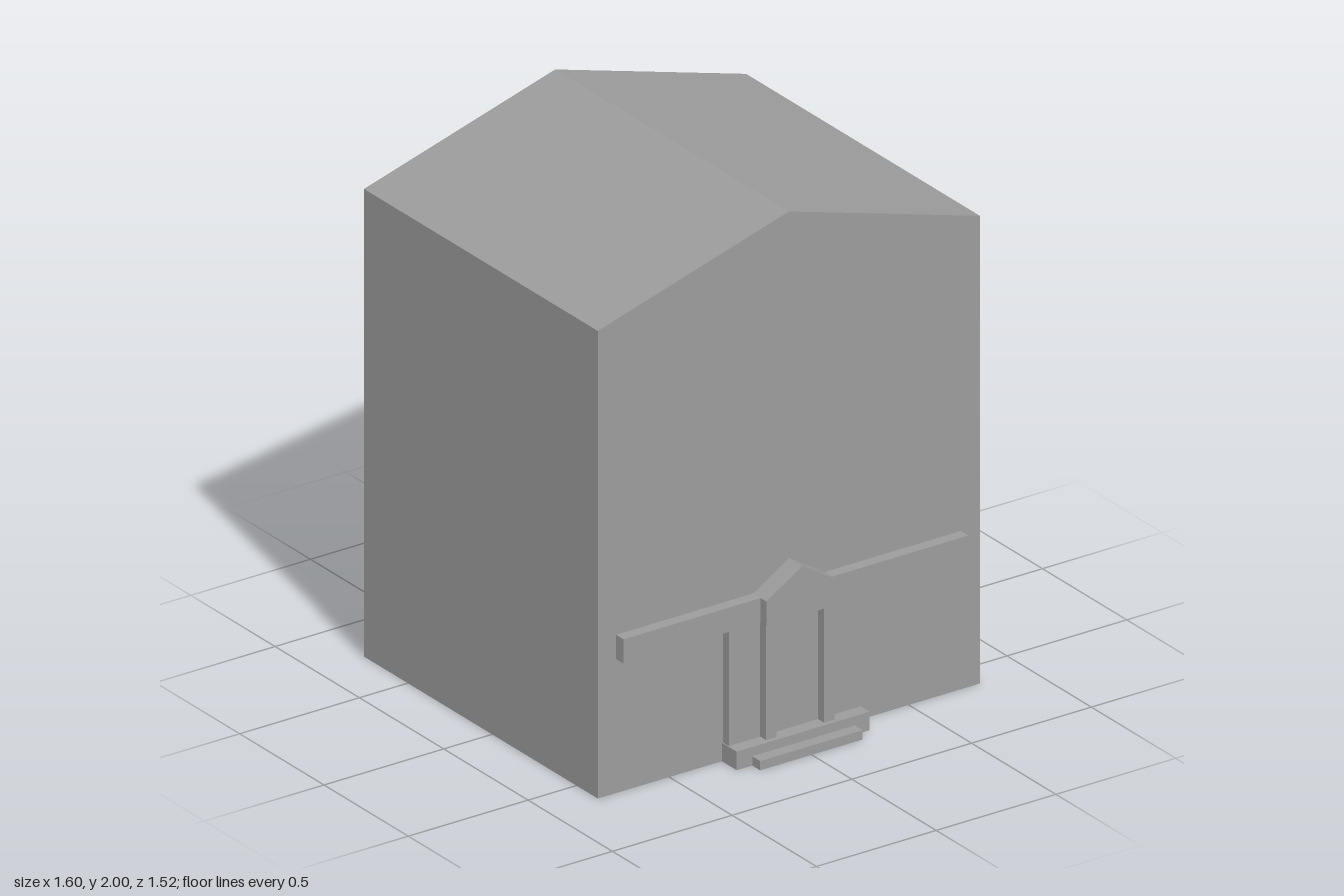
import * as THREE from 'three';

const material = new THREE.MeshStandardMaterial({ color: 0x9c9c9c, flatShading: true });
const WALL = 0.627; // front wall plane

export function createModel() {
  const model = new THREE.Group();

  const add = (name, geometry) => {
    const mesh = new THREE.Mesh(geometry, material);
    mesh.name = name;
    model.add(mesh);
  };

  // Box given by its extents
  const box = (name, x0, x1, y0, y1, z0, z1) => {
    const g = new THREE.BoxGeometry(x1 - x0, y1 - y0, z1 - z0);
    g.translate((x0 + x1) / 2, (y0 + y1) / 2, (z0 + z1) / 2);
    add(name, g);
  };

  // Gable-ended block: a pentagon pushed along z
  const gabled = (name, halfWidth, base, eave, ridge, z0, z1) => {
    const shape = new THREE.Shape([
      new THREE.Vector2(-halfWidth, base),
      new THREE.Vector2(halfWidth, base),
      new THREE.Vector2(halfWidth, eave),
      new THREE.Vector2(0, ridge),
      new THREE.Vector2(-halfWidth, eave),
    ]);
    const g = new THREE.ExtrudeGeometry(shape, { depth: z1 - z0, bevelEnabled: false });
    g.translate(0, 0, z0);
    add(name, g);
  };

  // Main building with its pitched roof
  gabled('building', 0.798, 0, 1.766, 2, -0.76, WALL);

  // Entrance: steps, back panel, columns
  box('lowerStep', -0.215, 0.213, 0, 0.035, WALL, 0.762);
  box('upperStep', -0.28, 0.275, 0, 0.07, WALL, 0.715);
  box('entrancePanel', -0.276, 0.272, 0.07, 0.51, WALL, 0.662);
  for (const side of [-1, 1]) {
    const x = side * 0.121 - 0.002;
    box(side > 0 ? 'leftColumn' : 'rightColumn', x - 0.022, x + 0.022, 0.07, 0.51, 0.662, 0.698);
  }

  // Fascia band and the small gable over the door
  box('fasciaBand', -0.722, 0.718, 0.506, 0.598, WALL, 0.672);
  gabled('porchGable', 0.15, 0.506, 0.598, 0.692, WALL, 0.706);

  return model;
}
